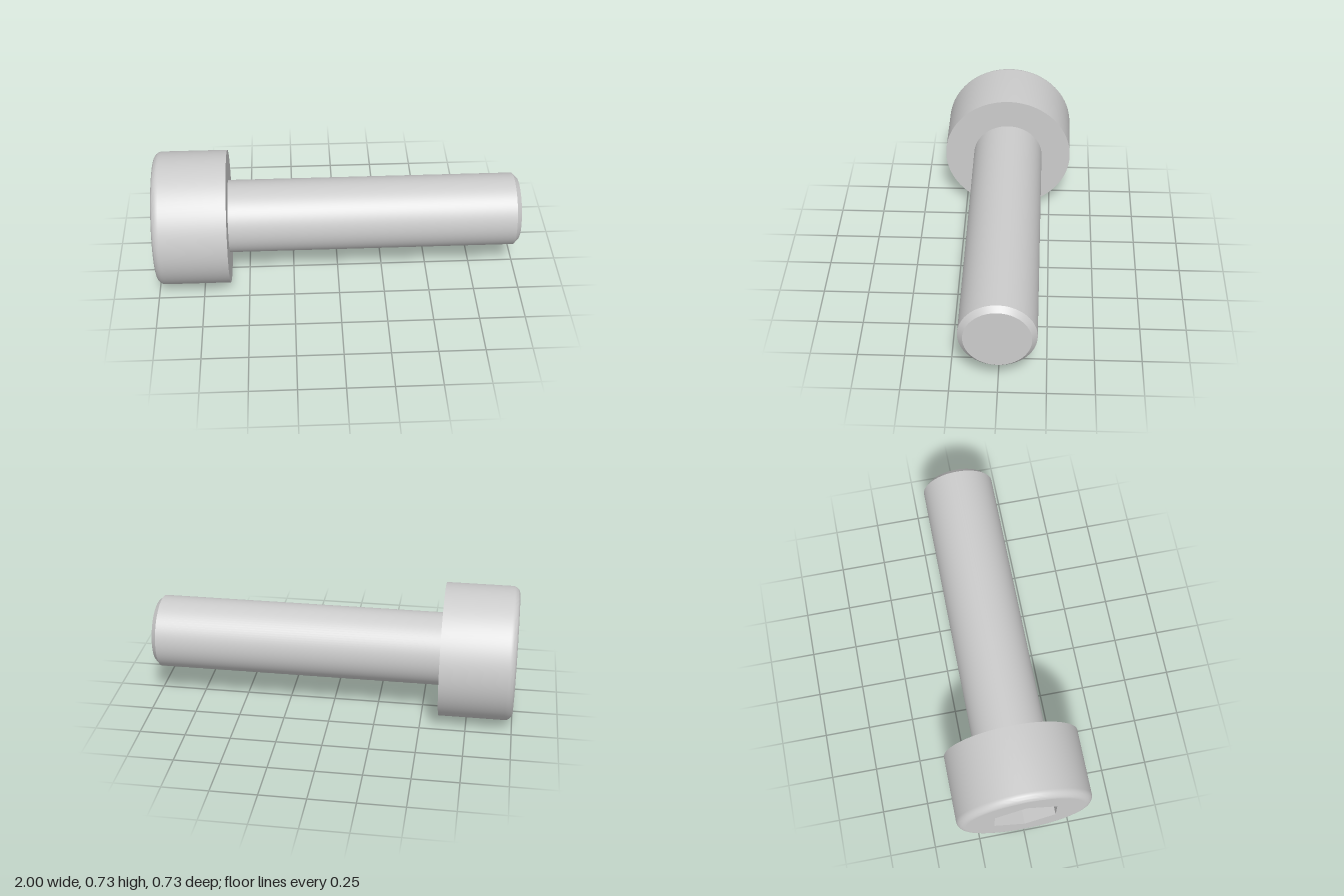
import * as THREE from 'three';
import { toCreasedNormals } from 'three/addons/utils/BufferGeometryUtils.js';

const SEGMENTS = 96;
const HEAD_R = 0.367, SHANK_R = 0.2;
const HEAD_X = -1, SHOULDER_X = -0.6, TIP_X = 1;
const FILLET = 0.042, CHAMFER = 0.027;
const HEX_R = 0.1925, HEX_DEPTH = 0.174; // socket corner radius and depth

export function createModel() {
  const group = new THREE.Group();
  group.name = 'socketHeadScrew';
  const material = new THREE.MeshStandardMaterial({ color: 0xcccccc });

  const add = (name, geometry) => {
    const mesh = new THREE.Mesh(geometry, material);
    mesh.name = name;
    mesh.position.y = HEAD_R;
    group.add(mesh);
  };

  // Turn a profile of [radius, x] pairs around the x axis, keeping sharp edges
  const turned = (profile) => {
    const points = profile.map(([r, x]) => new THREE.Vector2(r, x));
    const geometry = new THREE.LatheGeometry(points, SEGMENTS).rotateZ(-Math.PI / 2);
    return toCreasedNormals(geometry, 0.5);
  };

  // Head: rounded outer rim, straight side, flat shoulder under the head
  const headProfile = [];
  for (let i = 0; i <= 8; i++) {
    const a = (i / 8) * Math.PI / 2;
    headProfile.push([
      HEAD_R - FILLET + FILLET * Math.sin(a),
      HEAD_X + FILLET - FILLET * Math.cos(a),
    ]);
  }
  headProfile.push([HEAD_R, SHOULDER_X], [SHANK_R, SHOULDER_X]);
  add('head', turned(headProfile));

  // Shank with chamfered tip
  add('shank', turned([
    [SHANK_R, SHOULDER_X],
    [SHANK_R, TIP_X - CHAMFER],
    [SHANK_R - CHAMFER, TIP_X],
    [0, TIP_X],
  ]));

  // Flat end of the head with a hexagonal opening, corners up and down
  const face = new THREE.Shape().absarc(0, 0, HEAD_R - FILLET, 0, Math.PI * 2);
  const hex = [];
  for (let i = 0; i < 6; i++) {
    const a = Math.PI / 2 + (i * Math.PI) / 3;
    hex.push(new THREE.Vector2(HEX_R * Math.cos(a), HEX_R * Math.sin(a)));
  }
  face.holes.push(new THREE.Path(hex));
  add('headFace', new THREE.ShapeGeometry(face, SEGMENTS)
    .rotateY(-Math.PI / 2).translate(HEAD_X, 0, 0));

  // Socket walls: a six-sided tube mirrored so that it faces inward
  const walls = new THREE.CylinderGeometry(HEX_R, HEX_R, HEX_DEPTH, 6, 1, true, Math.PI / 6)
    .rotateZ(-Math.PI / 2)
    .scale(-1, 1, 1)
    .translate(HEAD_X + HEX_DEPTH / 2, 0, 0)
    .toNonIndexed();
  walls.computeVertexNormals();
  add('socketWalls', walls);

  // Socket floor
  add('socketFloor', new THREE.CircleGeometry(HEX_R, 6, Math.PI / 2)
    .rotateY(-Math.PI / 2).translate(HEAD_X + HEX_DEPTH, 0, 0));

  return group;
}
